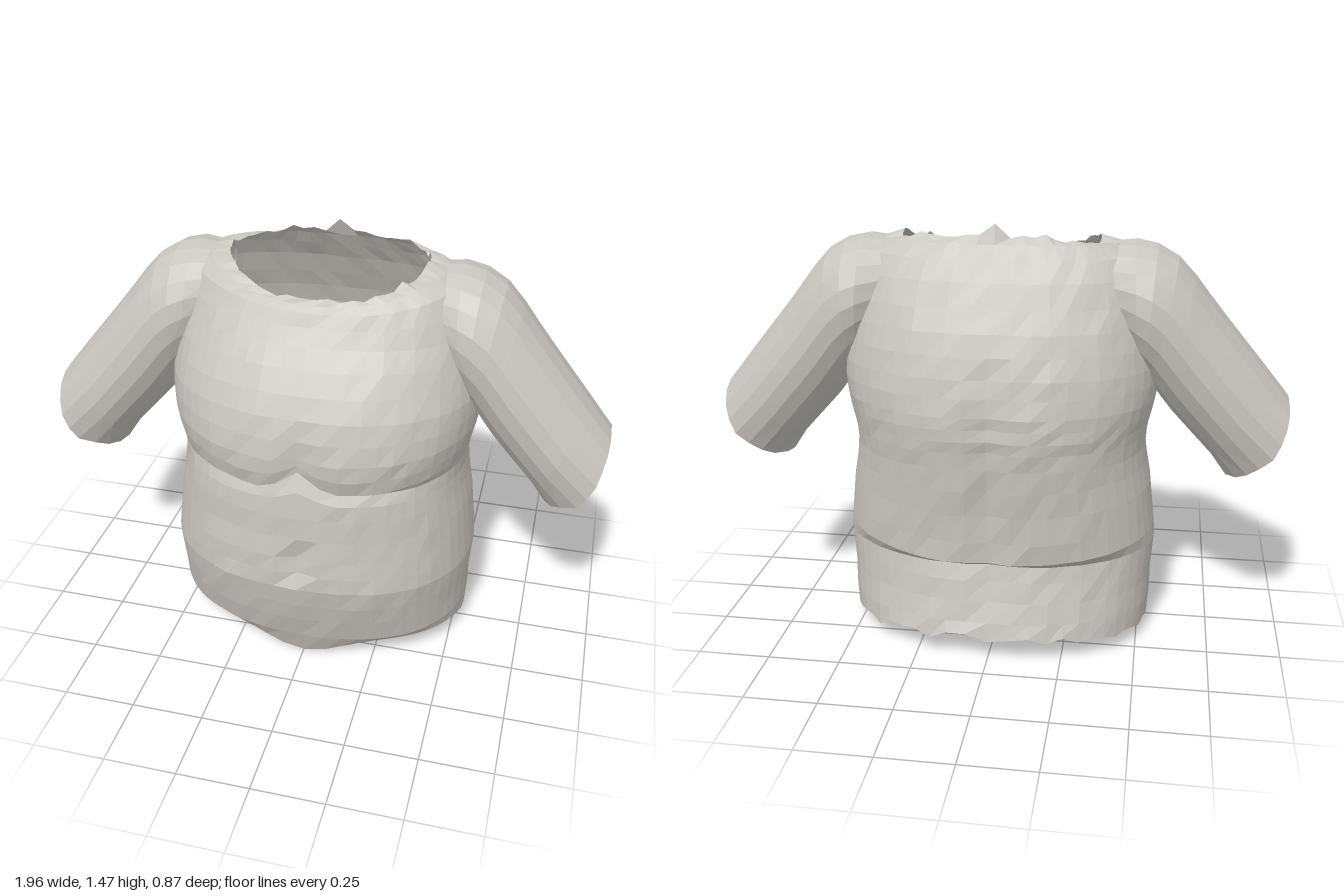
import * as THREE from 'three';

const fabric = new THREE.MeshStandardMaterial({ color: 0xc9c5bf });
fabric.name = 'pale grey fabric';
fabric.flatShading = true;
fabric.side = THREE.DoubleSide;

const bell = (v, mid, width) => Math.exp(-(((v - mid) / width) ** 2));
const noise = (i, j) => {
  const s = Math.sin(i * 127.1 + j * 311.7) * 43758.5453;
  return (s - Math.floor(s)) * 2 - 1;
};

// Open skin through closed rings of points; skip(x, y, z) leaves holes
function loft(rings, skip = () => false) {
  const n = rings[0].length;
  const pts = rings.flat();
  const index = [];
  for (let i = 0; i < rings.length - 1; i++) {
    for (let j = 0; j < n; j++) {
      const k = (j + 1) % n;
      const a = i * n + j, b = i * n + k, c = a + n, d = b + n;
      const mid = [0, 1, 2].map((m) => (pts[a][m] + pts[b][m] + pts[c][m] + pts[d][m]) / 4);
      if (!skip(...mid)) index.push(a, c, b, b, c, d);
    }
  }
  const g = new THREE.BufferGeometry();
  g.setAttribute('position', new THREE.Float32BufferAttribute(pts.flat(), 3));
  g.setIndex(index);
  g.computeVertexNormals();
  return g;
}

// Torso rows: y at front, side and back, half width, z at front and back
const torsoRows = [
  [0.00, 0.055, 0.09, 0.535, 0.335, -0.43],
  [0.10, 0.13, 0.14, 0.54, 0.37, -0.415],
  [0.20, 0.21, 0.21, 0.54, 0.40, -0.395],
  [0.28, 0.28, 0.28, 0.545, 0.42, -0.38],
  [0.36, 0.35, 0.335, 0.55, 0.435, -0.365],
  [0.42, 0.40, 0.355, 0.545, 0.43, -0.40],
  [0.48, 0.47, 0.43, 0.537, 0.425, -0.405],
  [0.56, 0.56, 0.53, 0.527, 0.415, -0.412],
  [0.64, 0.64, 0.62, 0.512, 0.41, -0.422],
  [0.70, 0.70, 0.70, 0.505, 0.403, -0.43],
  [0.735, 0.75, 0.76, 0.508, 0.385, -0.436],
  [0.74, 0.79, 0.80, 0.515, 0.402, -0.438],
  [0.80, 0.83, 0.84, 0.525, 0.413, -0.438],
  [0.86, 0.88, 0.88, 0.535, 0.415, -0.435],
  [0.93, 0.94, 0.94, 0.54, 0.40, -0.425],
  [1.00, 1.00, 1.00, 0.54, 0.378, -0.41],
  [1.07, 1.07, 1.07, 0.53, 0.34, -0.39],
  [1.14, 1.14, 1.14, 0.52, 0.295, -0.365],
  [1.20, 1.21, 1.21, 0.51, 0.25, -0.33],
  [1.25, 1.29, 1.29, 0.49, 0.215, -0.29],
  [1.29, 1.36, 1.35, 0.455, 0.19, -0.25],
  [1.31, 1.395, 1.40, 0.40, 0.175, -0.22],
  [1.325, 1.405, 1.425, 0.335, 0.165, -0.195],
];

function makeTorso() {
  const n = 56, last = torsoRows.length - 1;
  const rings = torsoRows.map(([yf, ys, yb, w, zf, zb], i) => {
    const zc = -0.02 - 0.04 * (i / last);
    return Array.from({ length: n }, (_, j) => {
      const t = (j / n) * Math.PI * 2, c = Math.cos(t), s = Math.sin(t);
      const round = (v) => Math.sign(v) * Math.abs(v) ** 0.88;
      const x = w * round(c);
      let z = zc + Math.abs(round(s)) * (s > 0 ? zf - zc : zb - zc);
      let y = ys + s * s * ((s > 0 ? yf : yb) - ys);
      if (s > 0) {
        // Chest cleft, raised middle of the crease, and navel
        y += 0.075 * bell(x, 0, 0.07) * bell(y, 0.75, 0.06);
        z -= 0.022 * bell(x, 0, 0.05) * bell(y, 0.86, 0.1);
        z -= 0.03 * bell(x, 0, 0.03) * bell(y, 0.46, 0.05);
      } else {
        // Spine groove
        z += 0.028 * bell(x, 0, 0.06) * bell(y, 0.65, 0.5);
      }
      // Wavy hem and ragged neckline
      if (i === 0) {
        if (s > 0) y = 0.08 - 0.08 * bell(x, 0, 0.2) ** 1.3 - 0.03 * bell(s, 0, 0.2);
        else y += 0.015 * noise(1, j);
      }
      if (i === last) {
        y += 0.014 * noise(7, j);
        if (j === n * 0.75) y = 1.465;
      } else if (i > 0) z += 0.004 * noise(i, j) * Math.abs(s);
      return [x, y, z];
    });
  });
  // Armholes are left open where the sleeves join
  return loft(rings, (x, y, z) => Math.abs(x) > 0.46 && y > 1.02 && y < 1.3 && Math.abs(z + 0.05) < 0.14);
}

// Sleeve rows: top x and y, bottom x and y, z centre, z half depth
const sleeveRows = [
  [0.36, 1.395, 0.43, 1.04, -0.06, 0.17],
  [0.45, 1.405, 0.47, 0.99, -0.06, 0.205],
  [0.52, 1.39, 0.49, 0.96, -0.055, 0.215],
  [0.59, 1.35, 0.515, 0.92, -0.05, 0.212],
  [0.65, 1.285, 0.55, 0.87, -0.045, 0.21],
  [0.70, 1.22, 0.585, 0.825, -0.04, 0.208],
  [0.76, 1.145, 0.63, 0.775, -0.035, 0.205],
  [0.83, 1.06, 0.68, 0.72, -0.03, 0.2],
  [0.90, 0.975, 0.725, 0.67, -0.025, 0.195],
  [0.978, 0.878, 0.775, 0.595, -0.02, 0.178],
];

function makeSleeve() {
  const n = 20, last = sleeveRows.length - 1;
  return loft(sleeveRows.map(([xt, yt, xb, yb, zc, zr], i) =>
    Array.from({ length: n }, (_, j) => {
      const t = (j / n) * Math.PI * 2, c = Math.cos(t), s = Math.sin(t);
      const h = (1 + c) / 2;
      // The cuff bulges outward halfway round
      const out = i === last ? 0.05 * s * s + 0.008 * noise(3, j) * Math.abs(s) : 0;
      return [xb + (xt - xb) * h + out, yb + (yt - yb) * h - out * 0.6, zc - s * zr];
    })));
}

export function createModel() {
  const model = new THREE.Group();
  model.name = 'shirt';
  const torso = new THREE.Mesh(makeTorso(), fabric);
  torso.name = 'torso';
  model.add(torso);
  const sleeve = makeSleeve();
  for (const [name, side] of [['leftSleeve', 1], ['rightSleeve', -1]]) {
    const mesh = new THREE.Mesh(sleeve, fabric);
    mesh.name = name;
    mesh.scale.x = side;
    model.add(mesh);
  }
  return model;
}
